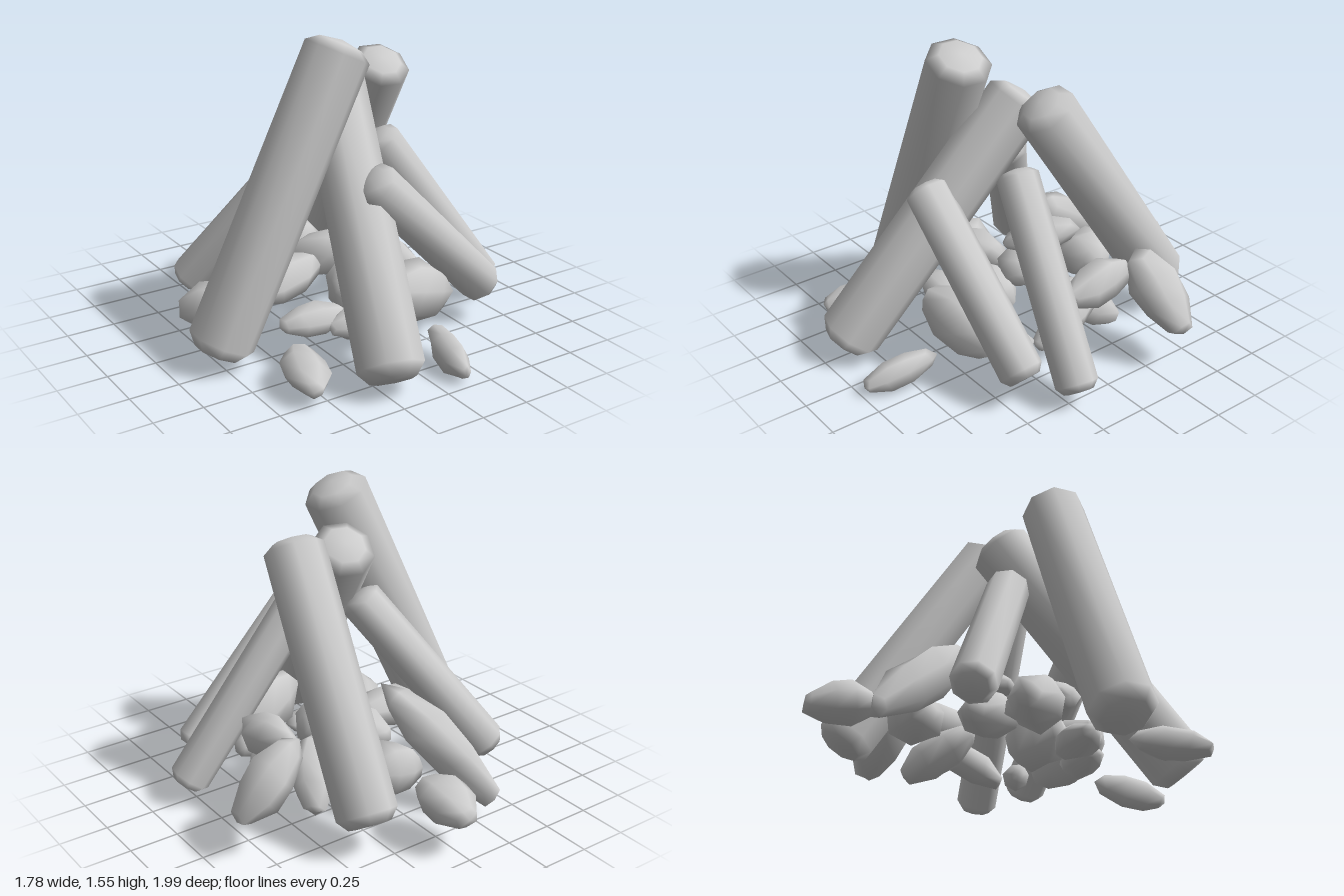
import * as THREE from 'three';
import { mergeVertices } from 'three/addons/utils/BufferGeometryUtils.js';

const material = new THREE.MeshStandardMaterial({ color: 0xcccccc });

// Small seeded generator for the uneven stones
function seeded(seed) {
  let s = seed * 7919 + 17;
  return () => (s = (s * 16807) % 2147483647) / 2147483647;
}

// Turn a profile, and weld all corners so that sides and ends shade as one smooth surface
function turned(profile, sides) {
  const geometry = new THREE.LatheGeometry(profile.map(([r, y]) => new THREE.Vector2(r, y)), sides);
  geometry.deleteAttribute('uv');
  geometry.deleteAttribute('normal');
  const welded = mergeVertices(geometry, 1e-4);
  welded.computeVertexNormals();
  return welded;
}

// Lay a mesh built along +y between two points, its x axis kept level
function between(mesh, a, b) {
  const dir = b.clone().sub(a).normalize();
  const side = new THREE.Vector3(0, 1, 0).cross(dir).normalize();
  const basis = new THREE.Matrix4().makeBasis(side, dir, side.clone().cross(dir));
  mesh.quaternion.setFromRotationMatrix(basis);
  mesh.position.copy(a).add(b).multiplyScalar(0.5);
}

// Eight-sided log with bevelled ends
function makeLog(name, foot, top, radius) {
  const a = new THREE.Vector3(...foot), b = new THREE.Vector3(...top);
  const h = a.distanceTo(b) / 2, bevel = radius * 0.36;
  const geometry = turned([
    [0, -h], [radius * 0.7, -h], [radius, bevel - h],
    [radius, h - bevel], [radius * 0.65, h - bevel * 0.3], [0, h],
  ], 8);
  geometry.rotateY(Math.PI / 8);
  const mesh = new THREE.Mesh(geometry, material);
  mesh.name = name;
  between(mesh, a, b);
  return mesh;
}

// Uneven pointed stone: a seven-sided spindle with jittered rings
function makeStone(name, from, to, halfWidth, halfDepth, seed) {
  const a = new THREE.Vector3(...from), b = new THREE.Vector3(...to);
  const rand = seeded(seed);
  const geometry = turned([[0, -0.5], [0.46, -0.45], [0.94, -0.2], [1, 0.1], [0.6, 0.37], [0, 0.5]], 7);
  const p = geometry.attributes.position, length = a.distanceTo(b);
  for (let i = 0; i < p.count; i++) {
    const k = 0.9 + rand() * 0.22;
    const onAxis = Math.hypot(p.getX(i), p.getZ(i)) < 0.01;
    const shift = onAxis ? 0 : (rand() - 0.5) * 0.08;
    p.setXYZ(i, p.getX(i) * halfWidth * k, (p.getY(i) + shift) * length, p.getZ(i) * halfDepth * k);
  }
  geometry.computeVertexNormals();
  const mesh = new THREE.Mesh(geometry, material);
  mesh.name = name;
  between(mesh, a, b);
  return mesh;
}

export function createModel() {
  const model = new THREE.Group();
  model.name = 'campfire';

  // Leaning logs: foot, top, radius
  const logs = new THREE.Group();
  logs.name = 'logs';
  const logList = [
    ['leftLog', [-0.775, 0.095, 0.21], [-0.09, 1.53, 0.24], 0.165],
    ['frontLog', [-0.235, 0.1, 0.89], [0.025, 1.31, -0.045], 0.16],
    ['backLog', [0.36, 0.18, -0.7], [0.27, 1.36, 0.06], 0.15],
    ['frontRightLog', [0.655, 0.18, 0.44], [-0.09, 0.92, 0.48], 0.11],
    ['rightLog', [0.81, 0.11, 0.24], [0.18, 1.0, 0.13], 0.105],
    ['backLeftLog', [-0.6, 0.18, -0.45], [-0.07, 1.01, 0.0], 0.11],
  ];
  for (const entry of logList) logs.add(makeLog(...entry));

  // Stones: one end, other end, half width, half depth
  const stones = new THREE.Group();
  stones.name = 'stones';
  const stoneList = [
    // outer ring
    ['backStone', [0.01, 0.23, -1.0], [0.0, 0.27, -0.64], 0.14, 0.1],
    ['backLeafStone', [-0.33, 0.12, -0.8], [-0.07, 0.6, -0.21], 0.11, 0.12],
    ['innerBackStone', [-0.11, 0.24, -0.46], [0.2, 0.28, -0.43], 0.14, 0.13],
    ['rightBackStone', [0.88, 0.22, -0.37], [0.52, 0.54, -0.36], 0.135, 0.11],
    ['rightStone', [0.54, 0.42, 0.09], [0.52, 0.46, -0.32], 0.1, 0.115],
    ['leftStone', [-0.74, 0.13, -0.26], [-0.45, 0.19, 0.0], 0.13, 0.12],
    ['frontLeftStone', [-0.6, 0.1, 0.8], [-0.46, 0.13, 0.42], 0.11, 0.08],
    ['frontSmallStone', [0.11, 0.06, 0.99], [0.19, 0.145, 0.62], 0.07, 0.085],
    // heap under the logs
    ['frontHeapStone', [-0.02, 0.34, 0.53], [0.43, 0.19, 0.4], 0.13, 0.16],
    ['leftHeapStone', [-0.53, 0.26, 0.08], [-0.08, 0.34, 0.0], 0.13, 0.11],
    ['lowLeftHeapStone', [-0.45, 0.15, 0.24], [-0.08, 0.16, 0.28], 0.11, 0.08],
    ['lowFrontHeapStone', [-0.24, 0.14, 0.36], [0.09, 0.15, 0.42], 0.1, 0.08],
    ['rightHeapStone', [0.43, 0.14, 0.2], [0.42, 0.31, -0.2], 0.09, 0.08],
    ['smallHeapStone', [0.37, 0.18, 0.27], [0.48, 0.2, 0.31], 0.07, 0.07],
    ['topHeapStone', [0.01, 0.5, 0.08], [0.26, 0.59, -0.22], 0.11, 0.08],
    ['backHeapStone', [0.42, 0.09, -0.34], [0.22, 0.33, -0.04], 0.12, 0.1],
    ['middleHeapStone', [-0.12, 0.28, -0.24], [0.15, 0.38, 0.12], 0.14, 0.12],
    ['coreHeapStone', [-0.14, 0.26, 0.26], [0.17, 0.24, 0.12], 0.14, 0.15],
  ];
  stoneList.forEach((entry, i) => stones.add(makeStone(...entry, i + 1)));

  model.add(logs, stones);
  return model;
}
